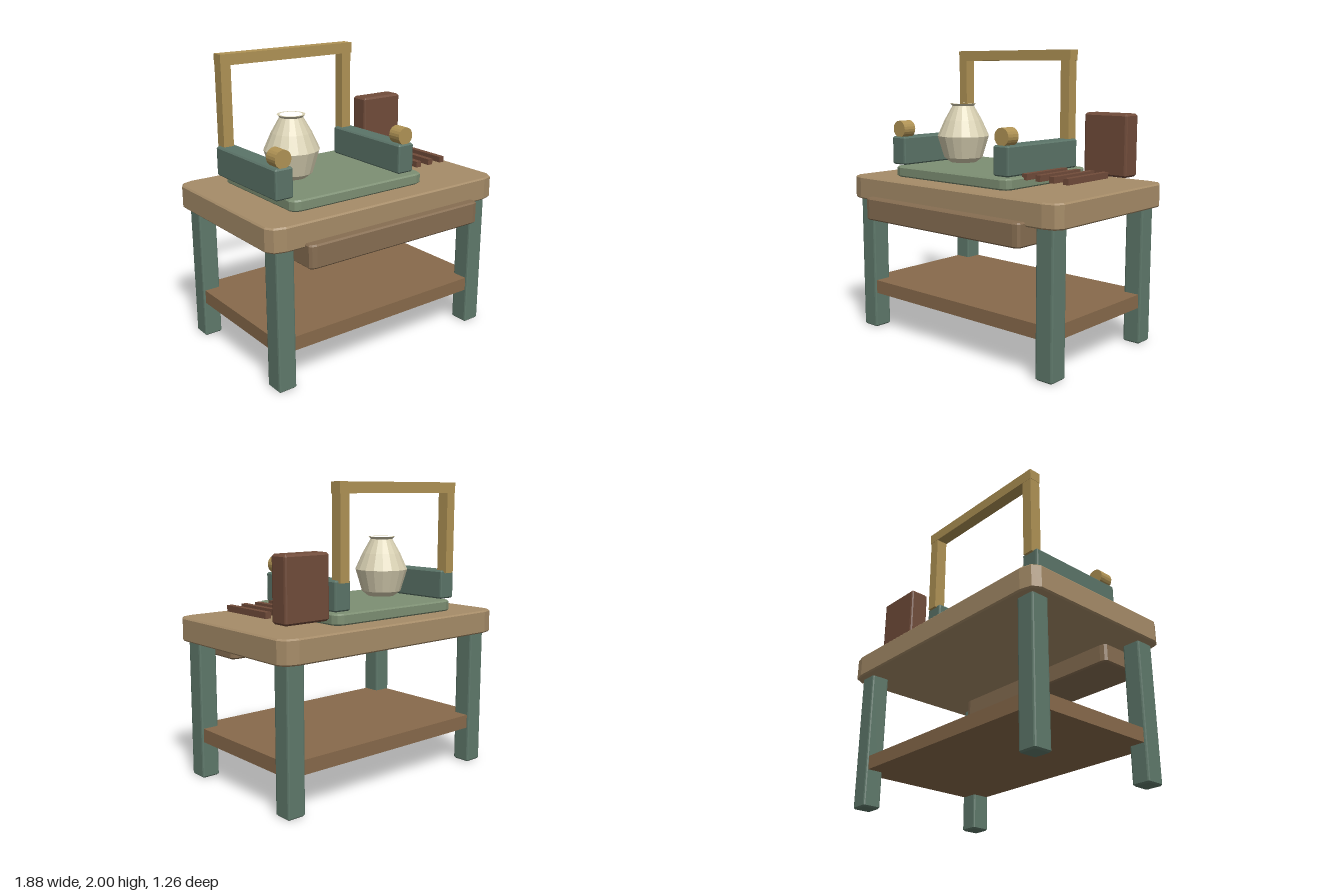
import * as THREE from 'three';

const mat = (color) => new THREE.MeshStandardMaterial({ color, flatShading: true });
const M = {
  top: mat(0xa68c68), drawer: mat(0x876e52), shelf: mat(0x886a4b), leg: mat(0x5f796b),
  rail: mat(0x5b7468), pad: mat(0x7d8f73), brass: mat(0xb09355), dark: mat(0x714c3a), clay: mat(0xd8d0b2),
};

export function createModel() {
  const root = new THREE.Group();
  const add = (name, geometry, material) => {
    const mesh = new THREE.Mesh(geometry, material);
    mesh.name = name;
    root.add(mesh);
    return mesh;
  };

  // Block given by its [min, max] ranges: clipped plan corners (rx by rz) and bevelled top and bottom edges
  const block = (name, material, [x0, x1], [y0, y1], [z0, z1], rx = 0.012, rz = rx, bevel = 0.01) => {
    const w = (x1 - x0) / 2, d = (z1 - z0) / 2, k = 0.71;
    const pts = [];
    for (const [sx, sz] of [[1, 1], [-1, 1], [-1, -1], [1, -1]]) {
      const corner = [[0, 1], [1 - k, 1 - k], [1, 0]].map(
        ([a, b]) => new THREE.Vector2(sx * (w - a * rx), sz * (d - b * rz)));
      pts.push(...(sx * sz > 0 ? corner : corner.reverse()));
    }
    const g = new THREE.ExtrudeGeometry(new THREE.Shape(pts), {
      depth: y1 - y0 - 2 * bevel, bevelSize: bevel, bevelThickness: bevel, bevelOffset: -bevel, bevelSegments: 1,
    });
    g.rotateX(-Math.PI / 2);
    g.translate((x0 + x1) / 2, y0 + bevel, (z0 + z1) / 2);
    return add(name, g, material);
  };

  // Plain square-edged bar
  const bar = (name, material, [x0, x1], [y0, y1], [z0, z1]) =>
    add(name, new THREE.BoxGeometry(x1 - x0, y1 - y0, z1 - z0), material)
      .position.set((x0 + x1) / 2, (y0 + y1) / 2, (z0 + z1) / 2);

  // Table
  block('tableTop', M.top, [-0.94, 0.94], [0.95, 1.11], [-0.63, 0.565], 0.11, 0.075);
  block('drawer', M.drawer, [-0.705, 0.705], [0.825, 0.98], [0.255, 0.63], 0.045, 0.025);
  bar('lowerShelf', M.shelf, [-0.865, 0.865], [0.255, 0.35], [-0.56, 0.505]);
  for (const [x0, x1] of [[-0.88, -0.75], [0.75, 0.88]]) {
    block('frontLeg', M.leg, [x0, x1], [0, 0.96], [0.385, 0.52]);
    block('backLeg', M.leg, [x0, x1], [0, 0.96], [-0.575, -0.445]);
  }

  // Work pad on the table
  block('workPad', M.pad, [-0.665, 0.405], [1.11, 1.185], [-0.465, 0.39], 0.06, 0.05);

  // Side rails, each with a roller at the front and a post of the arch at the back
  for (const x of [-0.685, 0.298]) {
    block('sideRail', M.rail, [x - 0.065, x + 0.065], [1.187, 1.387], [-0.4, 0.33]);
    const roller = add('roller', new THREE.CylinderGeometry(0.06, 0.06, 0.1, 20).rotateX(Math.PI / 2), M.brass);
    roller.position.set(x, 1.441, 0.27);
    bar('archPost', M.brass, [x - 0.037, x + 0.037], [1.37, 1.96], [-0.418, -0.337]);
  }
  bar('archBeam', M.brass, [-0.724, 0.343], [1.927, 2], [-0.42, -0.335]);

  // Vase: hollow, with a thin flat rim
  const profile = [[0, 1.2], [0.095, 1.2], [0.14, 1.235], [0.187, 1.39], [0.135, 1.505],
    [0.078, 1.605], [0.094, 1.622], [0.076, 1.622]].map(([r, y]) => new THREE.Vector2(r, y));
  add('vase', new THREE.LatheGeometry(profile, 18), M.clay).position.set(-0.388, 0, -0.033);

  // Upright case and row of sticks
  block('case', M.dark, [0.47, 0.81], [1.155, 1.577], [-0.473, -0.335], 0.015, 0.015, 0.014);
  for (let i = 0; i < 4; i++) {
    const x = 0.408 + i * 0.111;
    bar('stick', M.dark, [x - 0.02, x + 0.02], [1.165, 1.206], [-0.207, 0.221]);
  }
  return root;
}
